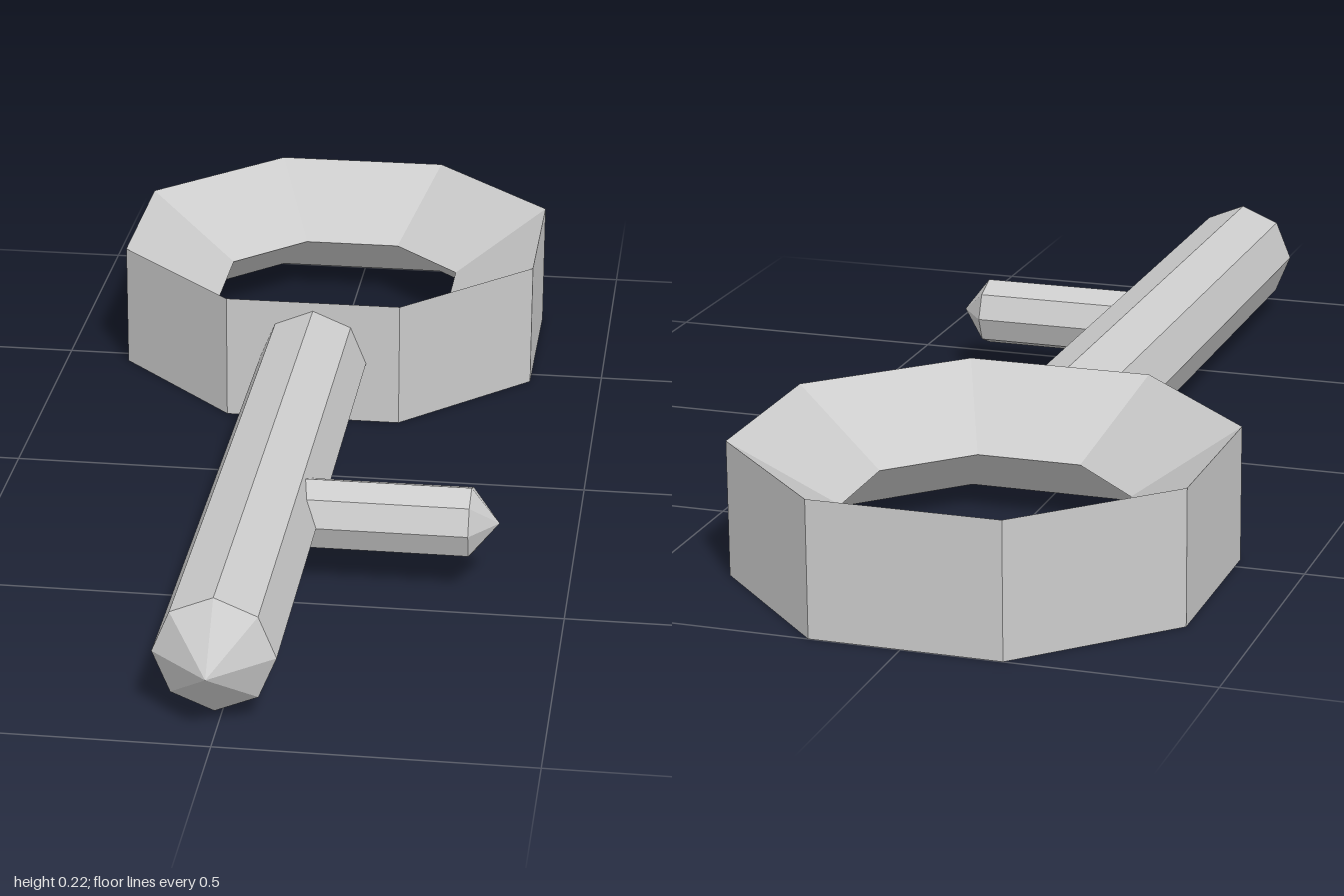
import * as THREE from 'three';

export function createModel() {
  const model = new THREE.Group();
  model.name = 'key';

  const greyMetal = new THREE.MeshStandardMaterial({ color: 0xcccccc, flatShading: true });
  greyMetal.name = 'greyMetal';

  const sides = 8;
  const midHeight = 0.1125;
  const centreX = -0.0075;

  // Eight-sided solid turned from [radius, height] points
  function turned(name, points, phiStart = 0) {
    const profile = points.map(([r, y]) => new THREE.Vector2(r, y));
    const mesh = new THREE.Mesh(new THREE.LatheGeometry(profile, sides, phiStart), greyMetal);
    mesh.name = name;
    model.add(mesh);
    return mesh;
  }

  // Rod along +y with a flat start and a pointed end
  function pointedRod(name, radius, start, shoulder, tip) {
    return turned(name, [[0, start], [radius, start], [radius, shoulder], [0, tip]]);
  }

  // Handle ring: triangular section, upright outer wall, ridge on the inside
  const outer = 0.4086, inner = 0.2315;
  const ring = turned('handleRing',
    [[outer, 0], [outer, 2 * midHeight], [inner, midHeight], [outer, 0]], Math.PI / sides);
  ring.position.set(centreX, 0, -0.6225);

  // Shaft running forward from the ring
  const shaft = pointedRod('shaft', 0.0965, -0.255, 0.915, 1);
  shaft.rotation.x = Math.PI / 2;
  shaft.position.set(centreX, midHeight, 0);

  // Side tooth pointing to the left of the model
  const tooth = pointedRod('tooth', 0.0605, 0.03, 0.337, 0.384);
  tooth.rotation.z = -Math.PI / 2;
  tooth.position.set(0, midHeight, 0.392);

  return model;
}
